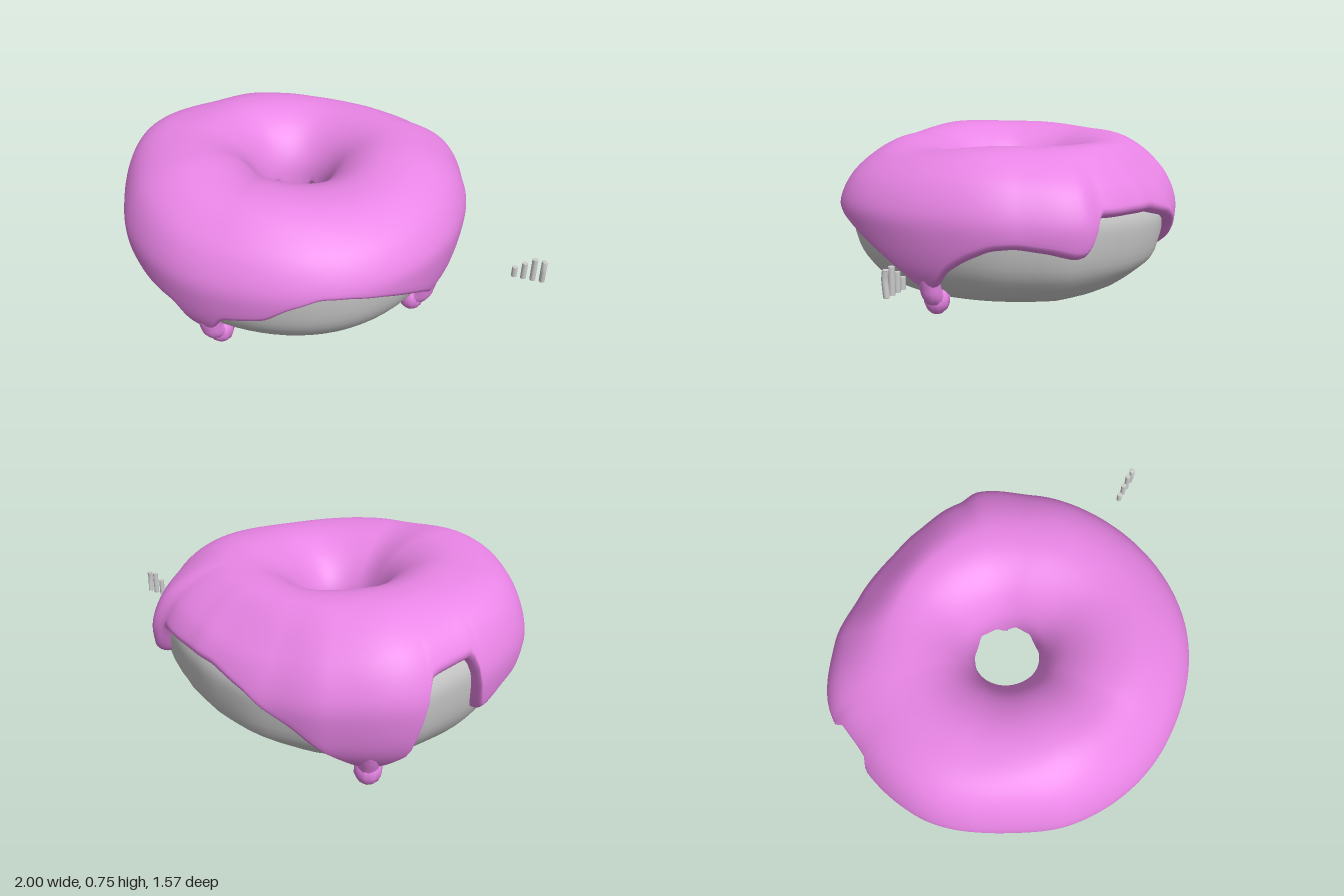
import * as THREE from 'three';

const DEG = Math.PI / 180;
const CENTRE_X = -0.2;
const { smoothstep, lerp } = THREE.MathUtils;

// Dough cross-section (radius, height): hole, over the crest, down the side, underside
const PROFILE = new THREE.SplineCurve([
  [0.195, 0.36], [0.21, 0.48], [0.27, 0.585], [0.36, 0.65], [0.46, 0.673], [0.58, 0.655],
  [0.68, 0.59], [0.737, 0.48], [0.742, 0.38], [0.705, 0.22], [0.62, 0.095], [0.53, 0.05],
  [0.44, 0.04], [0.355, 0.05], [0.272, 0.145], [0.215, 0.26], [0.195, 0.36],
].map(([r, y]) => new THREE.Vector2(r, y)));
const CREST_S = 0.27;

// Angle tables (degrees, 0 = front, 90 = left): crest height, outer radius,
// shift of the bulge height, icing edge height
const CREST = [[0, 0.705], [55, 0.675], [105, 0.71], [150, 0.705], [180, 0.7], [230, 0.718],
  [280, 0.738], [320, 0.745], [360, 0.705]];
const RADIUS = [[0, 0.78], [45, 0.81], [90, 0.8], [112, 0.81], [131, 0.845], [139, 0.81],
  [157, 0.78], [168, 0.77], [187, 0.78], [205, 0.81], [225, 0.835], [245, 0.8], [270, 0.8],
  [302, 0.765], [320, 0.775], [360, 0.78]];
const BULGE = [[0, -0.03], [90, 0], [130, -0.02], [180, -0.07], [225, -0.02], [270, 0.02], [360, -0.03]];
const EDGE = [[0, 0.24], [15, 0.28], [22, 0.35], [31, 0.4], [40, 0.39], [50, 0.35], [59, 0.3],
  [67, 0.25], [75, 0.19], [79, 0.14], [85, 0.14], [90, 0.22], [97, 0.28], [105, 0.33],
  [112, 0.34], [122, 0.32], [130, 0.29], [134, 0.31], [137, 0.45], [165, 0.43], [180, 0.38],
  [195, 0.28], [207, 0.17], [214, 0.1], [221, 0.1], [226, 0.15], [229, 0.18], [231, 0.46],
  [234, 0.49], [249, 0.51], [251, 0.28], [254, 0.26], [262, 0.32], [270, 0.34], [274, 0.42],
  [290, 0.42], [315, 0.35], [329, 0.27], [343, 0.24], [348, 0.15], [355, 0.15], [360, 0.24]];

function lookup(table, deg, ease) {
  const d = ((deg % 360) + 360) % 360;
  let i = 1;
  while (i < table.length - 1 && table[i][0] < d) i++;
  const [a, va] = table[i - 1], [b, vb] = table[i];
  const t = (d - a) / (b - a);
  return va + (vb - va) * (ease ? t * t * (3 - 2 * t) : t);
}

// Point on the uneven ring at an angle, a profile position and a distance off the dough
function ringPoint(deg, s, offset) {
  const u = (s + 1) % 1;
  const p = PROFILE.getPoint(u), t = PROFILE.getTangent(u);
  let r = p.x - t.y * offset, y = p.y + t.x * offset;
  const scale = lookup(RADIUS, deg, true) / 0.79;
  const outer = smoothstep(r, 0.5, 0.72);
  r *= 1 + (scale - 1) * smoothstep(r, 0.25, 0.75);
  y += (lookup(CREST, deg, true) - 0.72) * smoothstep(y, 0.38, 0.68)
    + lookup(BULGE, deg, true) * outer * smoothstep(y, 0.05, 0.3);
  const shift = -0.03 + 0.025 * smoothstep(r, 0.2, 0.6);
  return new THREE.Vector3(r * Math.sin(deg * DEG), y, r * Math.cos(deg * DEG) + shift);
}

// Profile position on the outer side at a given height
function outerAt(deg, height) {
  const target = height - lookup(BULGE, deg, true) * smoothstep(height, 0.05, 0.3);
  let lo = 0.3, hi = 0.72;
  for (let i = 0; i < 24; i++) {
    const mid = (lo + hi) / 2;
    if (PROFILE.getPoint(mid).y > target) lo = mid; else hi = mid;
  }
  return lo;
}

// Ring surface swept around the vertical axis
function sweep(segments, rows, section) {
  const pos = [], index = [];
  for (let i = 0; i < segments; i++) {
    const points = section((i * 360) / segments);
    for (let j = 0; j <= rows; j++) {
      pos.push(...points[j].toArray());
      if (j === rows) continue;
      const a = i * (rows + 1) + j, c = ((i + 1) % segments) * (rows + 1) + j;
      index.push(a, a + 1, c, c, a + 1, c + 1);
    }
  }
  const g = new THREE.BufferGeometry();
  g.setAttribute('position', new THREE.Float32BufferAttribute(pos, 3));
  g.setIndex(index);
  g.computeVertexNormals();
  return g;
}

export function createModel() {
  const model = new THREE.Group();
  const doughMat = new THREE.MeshStandardMaterial({ color: 0xcccccc });
  const icingMat = new THREE.MeshStandardMaterial({ color: 0xe985e6, side: THREE.DoubleSide });
  const add = (parent, name, geometry, material) => {
    const mesh = new THREE.Mesh(geometry, material);
    mesh.name = name;
    parent.add(mesh);
    return mesh;
  };

  const ring = new THREE.Group();
  ring.name = 'ring';
  ring.position.x = CENTRE_X;
  model.add(ring);

  // Dough
  add(ring, 'dough', sweep(72, 64, (deg) =>
    Array.from({ length: 65 }, (_, j) => ringPoint(deg, j / 64, 0))), doughMat);

  // Icing: a coat over the dough with a rounded lip at both edges
  const ROWS = 56, LIP = 6, TOP = 26, THICK = 0.05, LIP_RUN = 0.018;
  add(ring, 'icing', sweep(360, ROWS, (deg) => {
    const edge = [-1.5, 0, 1.5].reduce((sum, d) => sum + lookup(EDGE, deg + d) / 3, 0);
    const end = outerAt(deg, edge);
    const start = 0.012 * Math.sin(deg * DEG * 5) + 0.006 * Math.sin(deg * DEG * 11);
    return Array.from({ length: ROWS + 1 }, (_, j) => {
      const k = Math.min(j, ROWS - j);
      if (k < LIP) {
        const a = (k / LIP) * Math.PI / 2;
        const run = LIP_RUN * (1 - Math.cos(a));
        return ringPoint(deg, j < LIP ? start + run : end - run, THICK * Math.sin(a) - 0.004 * Math.cos(a));
      }
      const s = j < TOP ? lerp(start + LIP_RUN, CREST_S, (j - LIP) / (TOP - LIP))
        : lerp(CREST_S, end - LIP_RUN, (j - TOP) / (ROWS - LIP - TOP));
      return ringPoint(deg, s, THICK);
    });
  }), icingMat);

  // Drips: a strand down the side ending in a bulb
  for (const [deg, radius] of [[352, 0.61], [82, 0.635], [217.5, 0.695]]) {
    const drip = new THREE.Group();
    drip.name = 'drip';
    ring.add(drip);
    const bulb = add(drip, 'dripBulb', new THREE.SphereGeometry(0.058, 10, 7), icingMat);
    bulb.position.set(radius * Math.sin(deg * DEG), 0.068, radius * Math.cos(deg * DEG));
    bulb.scale.y = 1.17;
    const path = [0.26, 0.2, 0.16, 0.125].map((y, i) => ringPoint(deg, outerAt(deg, y), -0.01 + 0.014 * i));
    path.push(bulb.position.clone());
    add(drip, 'dripStrand', new THREE.TubeGeometry(new THREE.CatmullRomCurve3(path), 20, 0.045, 12), icingMat);
  }

  // Loose sprinkles in a row: three straight, one bent
  const sprinkles = new THREE.Group();
  sprinkles.name = 'sprinkles';
  model.add(sprinkles);
  [0.047, 0.077, 0.107].forEach((height, i) => {
    const s = add(sprinkles, 'sprinkle', new THREE.CylinderGeometry(0.0125, 0.0125, height, 12), doughMat);
    s.position.set(0.866 + i * 0.04, 0.245 + height / 2, 0.015);
  });
  const bend = new THREE.CatmullRomCurve3([[0.248, 0.014], [0.285, 0.018], [0.315, 0.02], [0.349, 0.016]]
    .map(([y, z]) => new THREE.Vector3(0.986, y, z)));
  add(sprinkles, 'bentSprinkle', new THREE.TubeGeometry(bend, 12, 0.0125, 12), doughMat);
  for (const t of [0, 1]) {
    const cap = add(sprinkles, 'bentSprinkleEnd', new THREE.SphereGeometry(0.0125, 12, 8), doughMat);
    cap.position.copy(bend.getPoint(t));
    cap.scale.y = 0.3;
  }
  return model;
}
